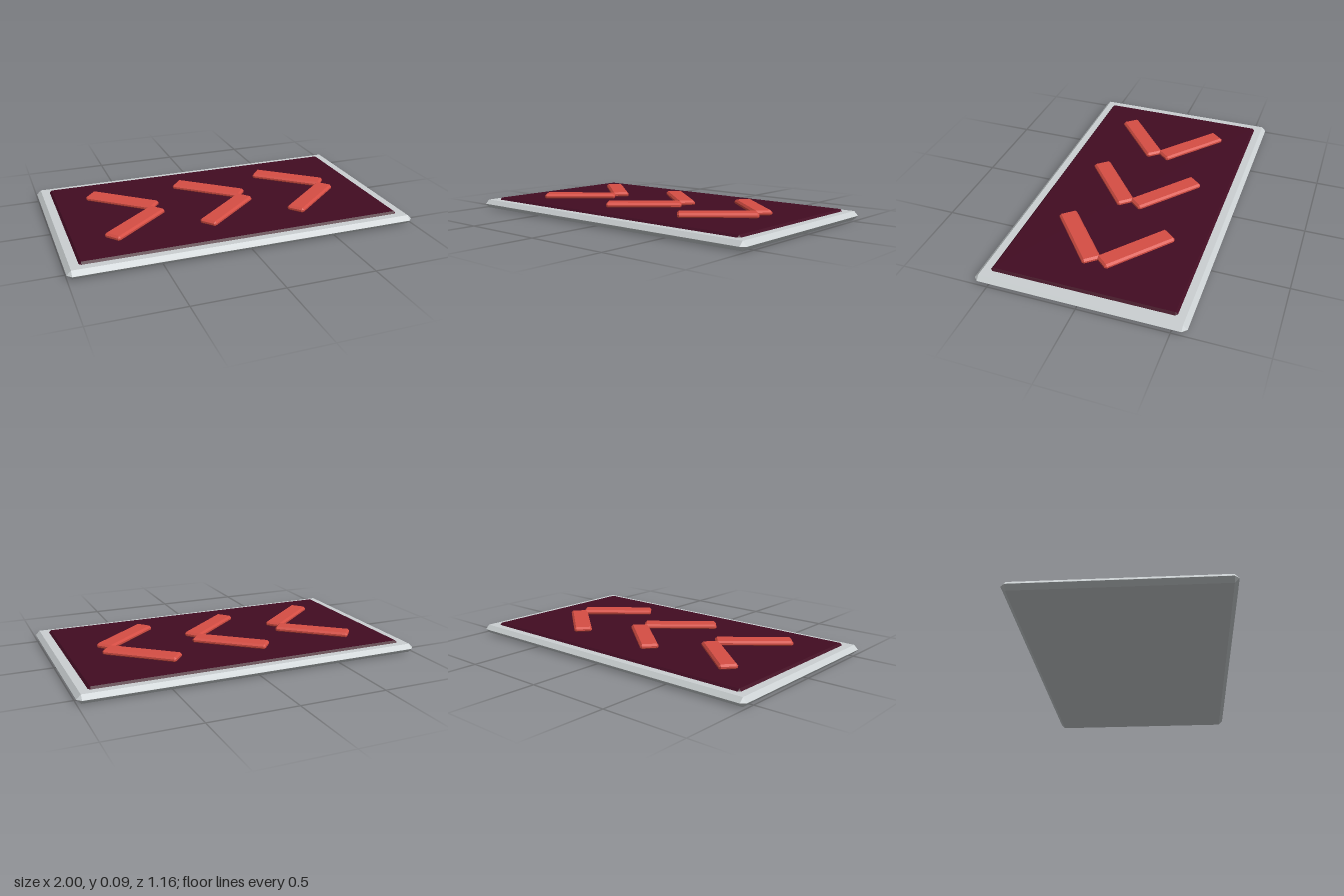
import * as THREE from 'three';
import { ConvexGeometry } from 'three/addons/geometries/ConvexGeometry.js';

// Box with every edge and corner cut by a flat chamfer c
function chamferedBox(w, h, d, c) {
  const points = [];
  for (const sx of [-1, 1]) for (const sy of [-1, 1]) for (const sz of [-1, 1]) {
    const x = w / 2, y = h / 2, z = d / 2;
    points.push(
      new THREE.Vector3(sx * x, sy * (y - c), sz * (z - c)),
      new THREE.Vector3(sx * (x - c), sy * y, sz * (z - c)),
      new THREE.Vector3(sx * (x - c), sy * (y - c), sz * z)
    );
  }
  return new ConvexGeometry(points);
}

function material(name, color) {
  const m = new THREE.MeshStandardMaterial({ color });
  m.name = name;
  return m;
}

export function createModel() {
  const model = new THREE.Group();
  model.name = 'arrowPad';
  const grey = material('light grey', 0xcbd0d2);
  const maroon = material('dark maroon', 0x420c22);
  const red = material('coral red', 0xd64e44);

  function add(name, geometry, mat, x, y, z, parent = model) {
    const mesh = new THREE.Mesh(geometry, mat);
    mesh.name = name;
    mesh.position.set(x, y, z);
    parent.add(mesh);
    return mesh;
  }

  // Base plate with bevelled rim
  add('basePlate', chamferedBox(2, 0.05, 1.16, 0.0245), grey, 0, 0.025, 0);

  // Raised dark panel
  add('panel', chamferedBox(1.86, 0.03, 1.03, 0.0145), maroon, 0, 0.047, 0);

  // Three chevrons pointing to +x, each from two mirrored bars
  const bar = chamferedBox(0.44, 0.032, 0.105, 0.011);
  for (const x of [-0.545, 0, 0.54]) {
    const chevron = new THREE.Group();
    chevron.name = 'chevron';
    chevron.position.x = x;
    for (const side of [-1, 1]) {
      const mesh = add(side < 0 ? 'backBar' : 'frontBar', bar, red, 0, 0.073, side * 0.166, chevron);
      mesh.rotation.y = side * THREE.MathUtils.degToRad(40);
    }
    model.add(chevron);
  }
  return model;
}
